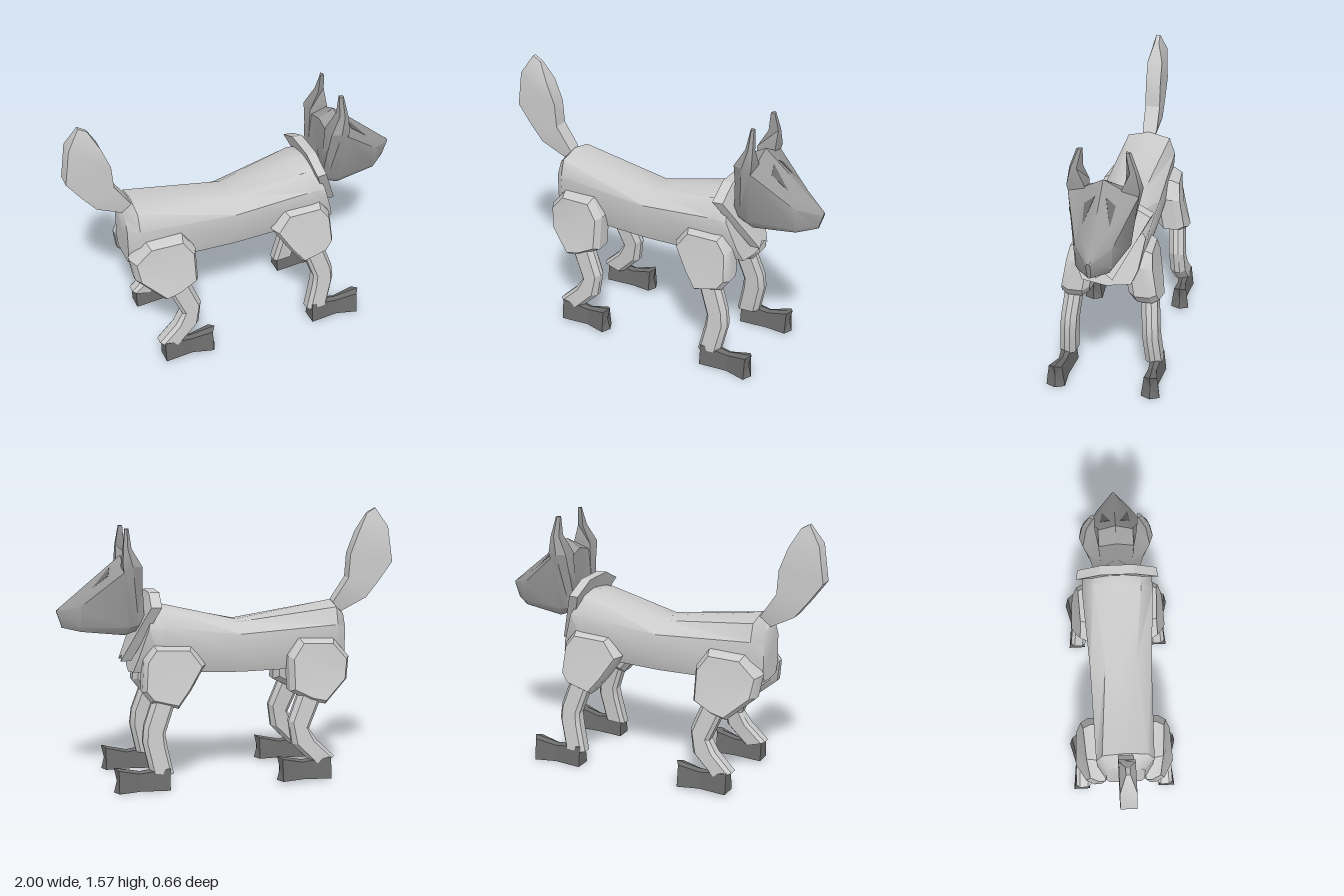
import * as THREE from 'three';
import { toCreasedNormals } from 'three/addons/utils/BufferGeometryUtils.js';

const material = (color) => new THREE.MeshStandardMaterial({ color, side: THREE.DoubleSide });
const coat = material(0xcccccc);
const shade = material(0x9c9c9c);
const dark = material(0x6c6c6c);

// Skin a list of equal-length [x, y, z] rings, cap both ends, and face it outward
function loft(rings, crease = 0.5) {
  const tris = [];
  const n = rings[0].length;
  for (let i = 0; i + 1 < rings.length; i++) {
    for (let j = 0; j < n; j++) {
      const k = (j + 1) % n, a = rings[i], b = rings[i + 1];
      tris.push([a[j], a[k], b[k]], [a[j], b[k], b[j]]);
    }
  }
  const cap = (ring, flip) => {
    const c = [0, 1, 2].map((d) => ring.reduce((s, p) => s + p[d], 0) / n);
    ring.forEach((p, j) => {
      const q = ring[(j + 1) % n];
      tris.push(flip ? [c, q, p] : [c, p, q]);
    });
  };
  cap(rings[0], true);
  cap(rings[rings.length - 1], false);

  const v = (p) => new THREE.Vector3(...p);
  const volume = tris.reduce((s, [a, b, c]) => s + v(a).dot(v(b).cross(v(c))), 0);
  if (volume < 0) tris.forEach((t) => t.reverse());
  const geometry = new THREE.BufferGeometry();
  geometry.setAttribute('position', new THREE.Float32BufferAttribute(tris.flat(2), 3));
  return toCreasedNormals(geometry, crease);
}

// Close a half ring (z >= 0) into a symmetric ring; end points on z = 0 are kept once
function symmetric(half) {
  const other = half.filter((p) => p[2] > 0).map(([x, y, z]) => [x, y, -z]);
  return [...half, ...other.reverse()];
}

export function createModel() {
  const model = new THREE.Group();
  const add = (name, geometry, mat = coat) => {
    const mesh = new THREE.Mesh(geometry, mat);
    mesh.name = name;
    model.add(mesh);
  };
  // side = 1 is z > 0, side = -1 its mirror image
  const mirrorZ = (rings, side) => rings.map((r) => r.map(([x, y, z]) => [x, y, z * side]));

  // Torso: [x, lean, then (y, half width) from spine to belly]
  const sections = [
    [-0.69, 0, [0.97, 0], [0.95, 0.07], [0.88, 0.11], [0.7, 0.11], [0.65, 0.09], [0.645, 0]],
    [-0.63, 0, [1.03, 0], [1.0, 0.13], [0.9, 0.165], [0.72, 0.155], [0.65, 0.14], [0.64, 0]],
    [-0.05, 0, [0.93, 0], [0.925, 0.09], [0.865, 0.18], [0.72, 0.175], [0.64, 0.15], [0.625, 0]],
    [0.4, 0.1, [1.035, 0], [1.015, 0.14], [0.92, 0.21], [0.74, 0.185], [0.655, 0.15], [0.635, 0]],
    [0.46, 0.33, [1.035, 0], [1.015, 0.13], [0.915, 0.205], [0.74, 0.175], [0.66, 0.14], [0.64, 0]],
  ];
  add('torso', loft(sections.map(([x, lean, ...pts]) =>
    symmetric(pts.map(([y, w]) => [x + lean * (1.03 - y), y, w]))), 0.8));

  // Collar: slanted plate, [y, half width, sweep back], with a notched point at the chest
  const collarHalf = [[1.11, 0.1, 0], [1.04, 0.24, 0.02], [0.71, 0.05, 0], [0.74, 0, 0]];
  const collarRing = (dx, k) => symmetric(collarHalf.map(([y, z, sweep]) =>
    [0.42 + dx - sweep + (1.11 - y) * 0.4, y, z * k]));
  add('collar', loft([collarRing(0, 1), collarRing(0.06, 0.96)], 0.3));

  // Head: from the back of the skull to the nose
  const skull = [
    [[0.54, 1.27, 0], [0.54, 1.24, 0.1], [0.53, 1.22, 0.17], [0.51, 0.94, 0.13], [0.54, 0.9, 0.1], [0.54, 0.9, 0]],
    [[0.63, 1.32, 0], [0.63, 1.27, 0.1], [0.63, 1.24, 0.195], [0.6, 0.92, 0.145], [0.62, 0.872, 0.11], [0.62, 0.865, 0]],
    [[0.87, 1.12, 0], [0.87, 1.09, 0.06], [0.87, 1.04, 0.1], [0.87, 0.92, 0.1], [0.87, 0.896, 0.085], [0.87, 0.892, 0]],
    [[1.0, 1.01, 0], [1.0, 1.01, 0.006], [0.998, 1.0, 0.012], [0.975, 0.93, 0.01], [0.97, 0.912, 0.008], [0.97, 0.91, 0]],
  ];
  add('head', loft(skull.map(symmetric), 0.65), shade);

  // Tail: flat brush, [leading x, y, trailing x, y, half thickness]
  const tail = [
    [-0.55, 0.89, -0.66, 0.94, 0.015],
    [-0.65, 1.04, -0.84, 1.04, 0.044],
    [-0.73, 1.16, -0.92, 1.14, 0.045],
    [-0.74, 1.3, -1.0, 1.25, 0.045],
    [-0.79, 1.43, -0.97, 1.46, 0.045],
    [-0.85, 1.54, -0.9, 1.57, 0.012],
  ];
  add('tail', loft(tail.map(([ax, ay, bx, by, t]) => [
    [ax, ay, t], [bx, by, t], [bx, by, -t], [ax, ay, -t],
  ])));

  // Ear: [y, back x, front x, inner z at back, inner z at front, outer z]
  const ear = [
    [0.97, 0.52, 0.58, 0.09, 0.09, 0.14],
    [1.27, 0.53, 0.64, 0.1, 0.1, 0.21],
    [1.37, 0.587, 0.635, 0.118, 0.145, 0.188],
    [1.48, 0.597, 0.62, 0.118, 0.12, 0.148],
  ].map(([y, x0, x1, zb, zf, z1]) => [[x0, y, zb], [x1, y, zf], [x1, y, z1 - 0.01], [(x0 + x1) / 2, y, z1], [x0, y, z1 - 0.02]]);

  // Eye: thin slanted triangle lying on the brow
  const eyeRing = (d) => [[0.697, 1.25, 0.03], [0.71, 1.21, 0.085], [0.81, 1.13, 0.073]]
    .map(([x, y, z]) => [x + d * 0.6, y + d, z + d * 0.4]);

  // Leg outlines and shin sections [back x, y, front x, y, centre z]; turnIn bends the thigh's rear edge
  const legs = {
    rear: {
      thigh: [[-0.6, 0.82], [-0.39, 0.83], [-0.32, 0.73], [-0.32, 0.53], [-0.44, 0.47], [-0.53, 0.45], [-0.68, 0.58], [-0.7, 0.71]],
      shin: [[-0.52, 0.52, -0.38, 0.54, 0.22], [-0.43, 0.31, -0.31, 0.36, 0.237], [-0.475, 0.24, -0.33, 0.22, 0.245], [-0.58, 0.14, -0.45, 0.1, 0.252]],
      heel: -0.555, sole: 0.015, turnIn: 0.38,
    },
    front: {
      thigh: [[0.25, 0.81], [0.47, 0.82], [0.53, 0.74], [0.545, 0.56], [0.5, 0.5], [0.34, 0.46], [0.26, 0.56], [0.17, 0.7]],
      shin: [[0.35, 0.52, 0.48, 0.54, 0.22], [0.42, 0.32, 0.54, 0.37, 0.237], [0.41, 0.25, 0.55, 0.28, 0.242], [0.375, 0.09, 0.51, 0.1, 0.255]],
      heel: 0.4, sole: 0, turnIn: 0.15,
    },
  };

  for (const side of [1, -1]) {
    const tag = side > 0 ? 'Near' : 'Far';
    const part = (name, rings, mat, crease) => add(name + tag, loft(mirrorZ(rings, side), crease), mat);
    part('ear', ear, shade);
    part('eye', [eyeRing(-0.01), eyeRing(0.002)], dark);

    for (const [place, { thigh, shin, heel, sole, turnIn }] of Object.entries(legs)) {
      // Thigh: bevelled pad that splays outward to the knee, its outer side turned in at the rear edge
      const cx = thigh.reduce((s, p) => s + p[0], 0) / thigh.length;
      const cy = thigh.reduce((s, p) => s + p[1], 0) / thigh.length;
      part(place + 'Thigh', [[0.82, -0.09, 0.1], [1, -0.055, 0.1], [1, 0.03, 1], [0.87, 0.07, 1]].map(([k, dz, turn]) =>
        thigh.map(([x, y]) => {
          const px = cx + (x - cx) * k, py = cy + (y - cy) * k;
          return [px, py, 0.165 + (0.8 - py) * 0.17 + dz - Math.max(0, cx - px - 0.05) * turnIn * turn];
        })), coat, 0.5);

      // Shin: flat-sided with bevelled edges, bent at the hock
      part(place + 'Shin', shin.map(([ax, ay, bx, by, z]) =>
        [[0, 0.025], [0.15, 0.046], [0.82, 0.046], [1, 0.015], [1, -0.015], [0.82, -0.046], [0.15, -0.046], [0, -0.025]]
          .map(([t, dz]) => [ax + (bx - ax) * t, ay + (by - ay) * t, z + dz])), coat, 0.4);

      // Foot: waisted block with a pointed toe, [offset from heel, height, bottom and top half widths, centre z, point]
      part(place + 'Foot', [[0, 0.125, 0.05, 0.036, 0.265, 0], [0.17, 0.1, 0.034, 0.024, 0.265, 0], [0.295, 0.13, 0.055, 0.038, 0.277, 0.025]]
        .map(([dx, h, wb, wt, z, point]) => [
          [heel + dx, sole, z - wb], [heel + dx + point, sole, z], [heel + dx, sole, z + wb],
          [heel + dx, sole + h, z + wt], [heel + dx + point, sole + h + 0.012, z], [heel + dx, sole + h, z - wt],
        ]), dark, 0.3);
    }
  }
  return model;
}
